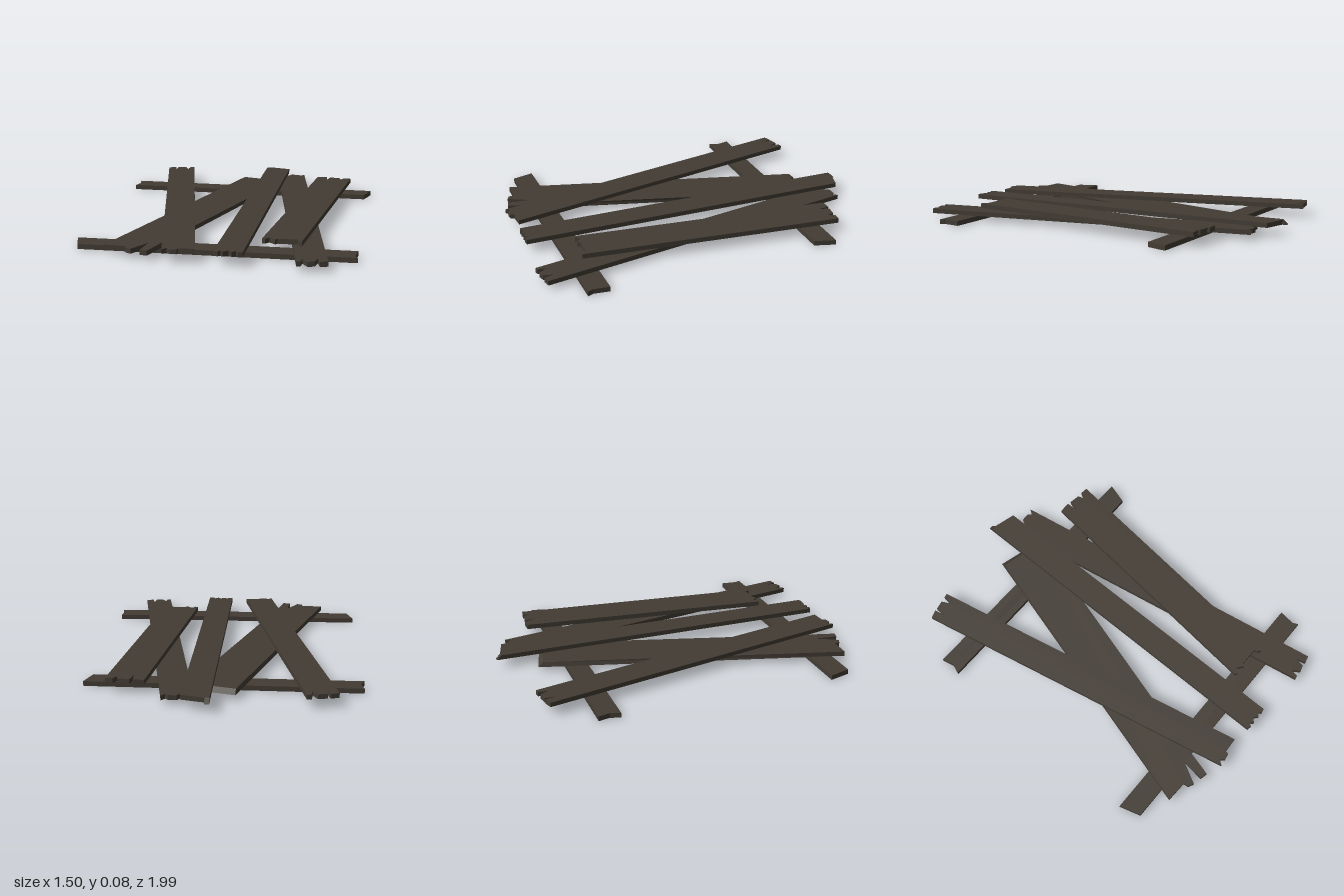
import * as THREE from 'three';

const wood = new THREE.MeshStandardMaterial({ color: 0x433c34 });
wood.name = 'darkWood';

// Plank from its outline in plan, as [x, z] corners, lying between heights y0 and y1.
// Top corners behind slopeZ are pulled forward to make a slanted broken end.
function plank(name, y0, y1, outline, slopeZ = -9) {
  const shape = new THREE.Shape(outline.map(([x, z]) => new THREE.Vector2(x, -z)));
  const geo = new THREE.ExtrudeGeometry(shape, { depth: y1 - y0, bevelEnabled: false });
  geo.rotateX(-Math.PI / 2);
  const p = geo.attributes.position;
  for (let i = 0; i < p.count; i++) {
    if (p.getY(i) > 0.001 && p.getZ(i) < slopeZ) p.setZ(i, p.getZ(i) + 0.028);
  }
  geo.computeVertexNormals();
  geo.translate(0, y0, 0);
  const mesh = new THREE.Mesh(geo, wood);
  mesh.name = name;
  return mesh;
}

export function createModel() {
  const group = new THREE.Group();
  group.name = 'brokenPlanks';
  group.add(
    // Crossbars on the ground
    plank('backCrossbar', 0, 0.027, [
      [-0.75, -0.655], [0.745, -0.625], [0.71, -0.51], [-0.755, -0.535], [-0.735, -0.59],
    ]),
    plank('frontCrossbar', 0, 0.027, [
      [-0.75, 0.68], [0.745, 0.68], [0.735, 0.77], [0.75, 0.8], [-0.715, 0.8],
    ]),
    // Lower layer of slanted planks
    plank('lowerRightPlank', 0.027, 0.053, [
      [-0.08, -0.795], [0.17, -0.725], [-0.27, 0.81], [-0.305, 0.94], [-0.345, 0.93],
      [-0.33, 0.8], [-0.395, 0.92], [-0.425, 0.905], [-0.43, 0.875], [-0.55, 0.87],
    ], -0.7),
    plank('lowerLeftPlank', 0.027, 0.053, [
      [0.13, -0.86], [0.2, -0.86], [0.215, -0.885], [0.26, -0.885], [0.275, -0.865],
      [0.295, -0.895], [0.615, 0.965], [0.575, 0.975], [0.56, 0.92], [0.55, 0.975],
      [0.515, 0.985], [0.485, 0.94], [0.48, 0.985], [0.46, 0.99],
    ]),
    // Upper layer
    plank('upperRightPlank', 0.051, 0.076, [
      [-0.61, -0.865], [-0.565, -0.88], [-0.55, -0.82], [-0.55, -0.88], [-0.5, -0.89],
      [-0.475, -0.84], [-0.47, -0.895], [-0.445, -0.9], [-0.055, 0.94], [-0.14, 0.945],
      [-0.145, 0.965], [-0.18, 0.97], [-0.2, 0.95], [-0.22, 0.975],
    ]),
    plank('centrePlank', 0.051, 0.077, [
      [0.04, -1], [0.065, -1], [0.065, -0.975], [0.19, -0.94], [0.19, 0.96], [0.165, 0.965],
      [0.155, 0.945], [0.135, 0.965], [0.115, 0.945], [0.09, 0.965], [0.075, 0.945],
      [0.065, 0.965], [0.04, 0.96],
    ], -0.98),
    plank('upperLeftPlank', 0.053, 0.08, [
      [0.4, -0.735], [0.46, -0.735], [0.465, -0.665], [0.48, -0.73], [0.54, -0.72],
      [0.55, -0.685], [0.57, -0.72], [0.61, -0.715], [0.46, 0.735], [0.445, 0.73],
      [0.435, 0.705], [0.33, 0.705], [0.32, 0.72], [0.285, 0.69], [0.265, 0.715], [0.25, 0.71],
    ]),
  );
  return group;
}
